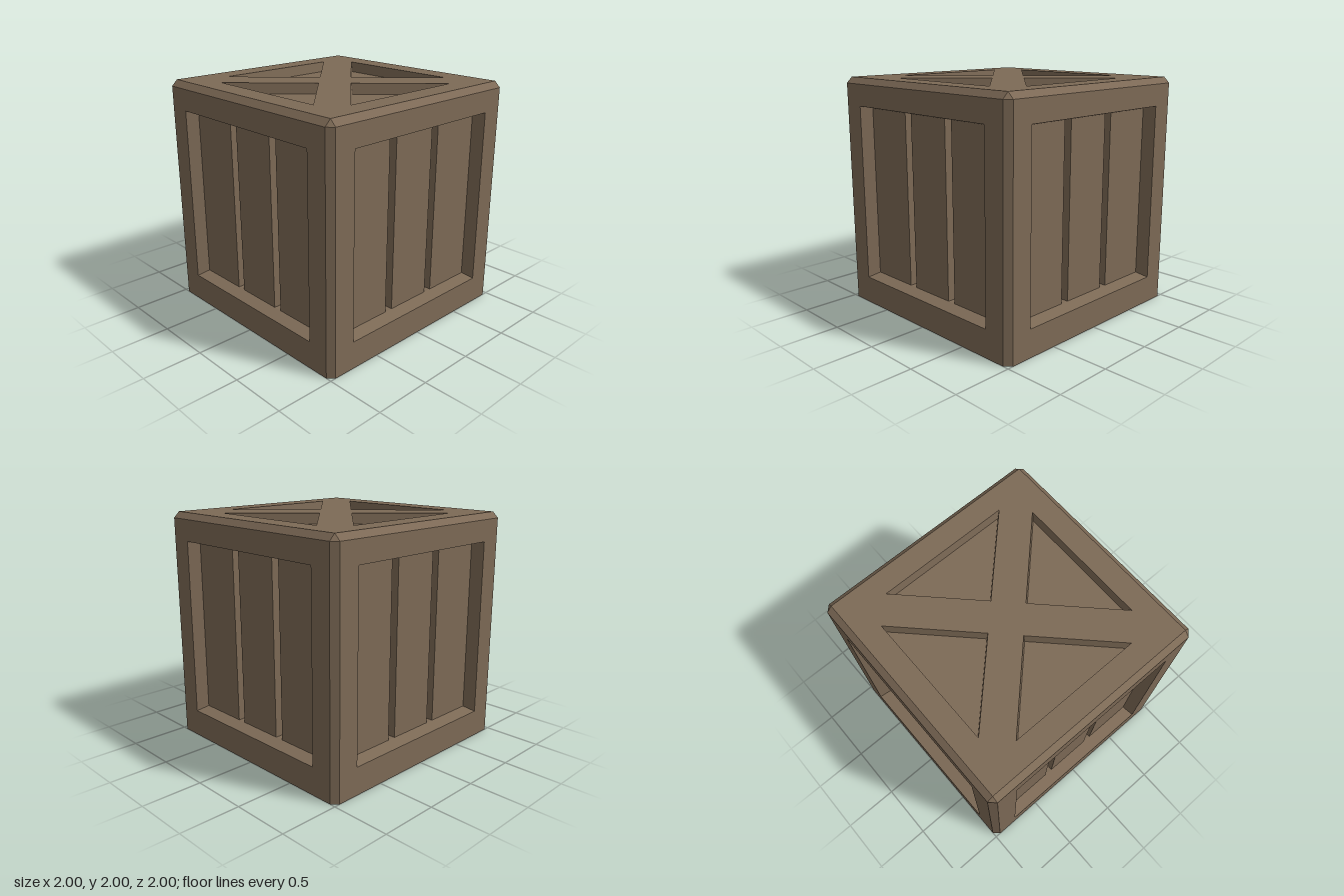
import * as THREE from 'three';

const wood = new THREE.MeshStandardMaterial({ color: 0x7d6a56 });
wood.name = 'brown wood';

const BEVEL = 0.05, EDGE = 1 - BEVEL, TOP = 2 - BEVEL;
const SIDE_DEPTH = 0.11, GROOVE_DEPTH = 0.07, TOP_DEPTH = 0.09;

const rect = (x0, y0, x1, y1) => [[x0, y0], [x1, y0], [x1, y1], [x0, y1]];
const toPath = (pts) => pts.map(([x, y]) => new THREE.Vector2(x, y));

function addMesh(parent, name, geometry) {
  const mesh = new THREE.Mesh(geometry, wood);
  mesh.name = name;
  parent.add(mesh);
  return mesh;
}

// Flat convex polygons given as counter-clockwise corner lists
function polygons(list) {
  const pos = [];
  for (const p of list) {
    for (let i = 1; i < p.length - 1; i++) pos.push(...p[0], ...p[i], ...p[i + 1]);
  }
  const geometry = new THREE.BufferGeometry();
  geometry.setAttribute('position', new THREE.Float32BufferAttribute(pos, 3));
  geometry.computeVertexNormals();
  return geometry;
}

// Flat plate facing +z with optional openings
function plate(parent, name, outline, holes = [], z = 0) {
  const shape = new THREE.Shape(toPath(outline));
  shape.holes = holes.map((h) => new THREE.Path(toPath(h)));
  return addMesh(parent, name, new THREE.ShapeGeometry(shape).translate(0, 0, z));
}

// Walls sinking from an outer outline at z0 to an inner outline at z1
function recessWalls(parent, name, outer, inner, z0, z1) {
  const quads = outer.map((o, i) => {
    const j = (i + 1) % outer.length;
    return [[...o, z0], [...outer[j], z0], [...inner[j], z1], [...inner[i], z1]];
  });
  return addMesh(parent, name, polygons(quads));
}

// One side: frame, sunken planks, grooves and bevelled edges
function makeSide() {
  const side = new THREE.Group();
  side.name = 'side';
  const panel = new THREE.Group();
  panel.name = 'sidePanel';
  panel.position.z = 1;
  side.add(panel);

  const outer = rect(-0.765, 0.235, 0.765, 1.765);
  const inner = rect(-0.742, 0.26, 0.742, 1.74);
  plate(panel, 'sideFrame', rect(-EDGE, 0, EDGE, TOP), [outer]);
  recessWalls(panel, 'frameInnerEdge', outer, inner, 0, -SIDE_DEPTH);

  for (const [x0, x1] of [[-0.742, -0.285], [-0.21, 0.21], [0.285, 0.742]]) {
    plate(panel, 'plank', rect(x0, 0.26, x1, 1.74), [], -SIDE_DEPTH);
  }
  for (const [x0, x1] of [[-0.285, -0.21], [0.21, 0.285]]) {
    const gap = rect(x0, 0.26, x1, 1.74);
    const floor = -SIDE_DEPTH - GROOVE_DEPTH;
    recessWalls(panel, 'grooveWalls', gap, gap, -SIDE_DEPTH, floor);
    plate(panel, 'grooveFloor', gap, [], floor);
  }

  addMesh(side, 'bevelledEdges', polygons([
    [[EDGE, 0, 1], [1, 0, EDGE], [1, TOP, EDGE], [EDGE, TOP, 1]],
    [[EDGE, TOP, 1], [1, TOP, EDGE], [EDGE, 2, EDGE]],
    [[-EDGE, TOP, 1], [EDGE, TOP, 1], [EDGE, 2, EDGE], [-EDGE, 2, EDGE]],
  ]));
  return side;
}

// Lid with a cross brace left standing between four sunken triangles
function makeLid() {
  const lid = new THREE.Group();
  lid.name = 'lid';
  const turn = ([x, y], k) => {
    const c = [1, 0, -1, 0][k], s = [0, 1, 0, -1][k];
    return [c * x - s * y, s * x + c * y];
  };
  const outer = [[-0.57, -0.76], [0.57, -0.76], [0, -0.19]];
  const inner = [[-0.546, -0.75], [0.546, -0.75], [0, -0.204]];
  const holes = [];
  for (let k = 0; k < 4; k++) {
    const o = outer.map((p) => turn(p, k));
    const n = inner.map((p) => turn(p, k));
    holes.push(o);
    recessWalls(lid, 'lidRecessWalls', o, n, 0, -TOP_DEPTH);
    plate(lid, 'lidRecessFloor', n, [], -TOP_DEPTH);
  }
  plate(lid, 'lidFrameAndCrossBrace', rect(-EDGE, -EDGE, EDGE, EDGE), holes);
  lid.rotation.x = -Math.PI / 2;
  lid.position.y = 2;
  return lid;
}

export function createModel() {
  const crate = new THREE.Group();
  crate.name = 'crate';
  for (let k = 0; k < 4; k++) {
    const side = makeSide();
    side.rotation.y = k * Math.PI / 2;
    crate.add(side);
  }
  crate.add(makeLid());

  // Flat base with clipped corners
  const base = plate(crate, 'base', [
    [-EDGE, -1], [EDGE, -1], [1, -EDGE], [1, EDGE],
    [EDGE, 1], [-EDGE, 1], [-1, EDGE], [-1, -EDGE],
  ]);
  base.rotation.x = Math.PI / 2;
  return crate;
}
